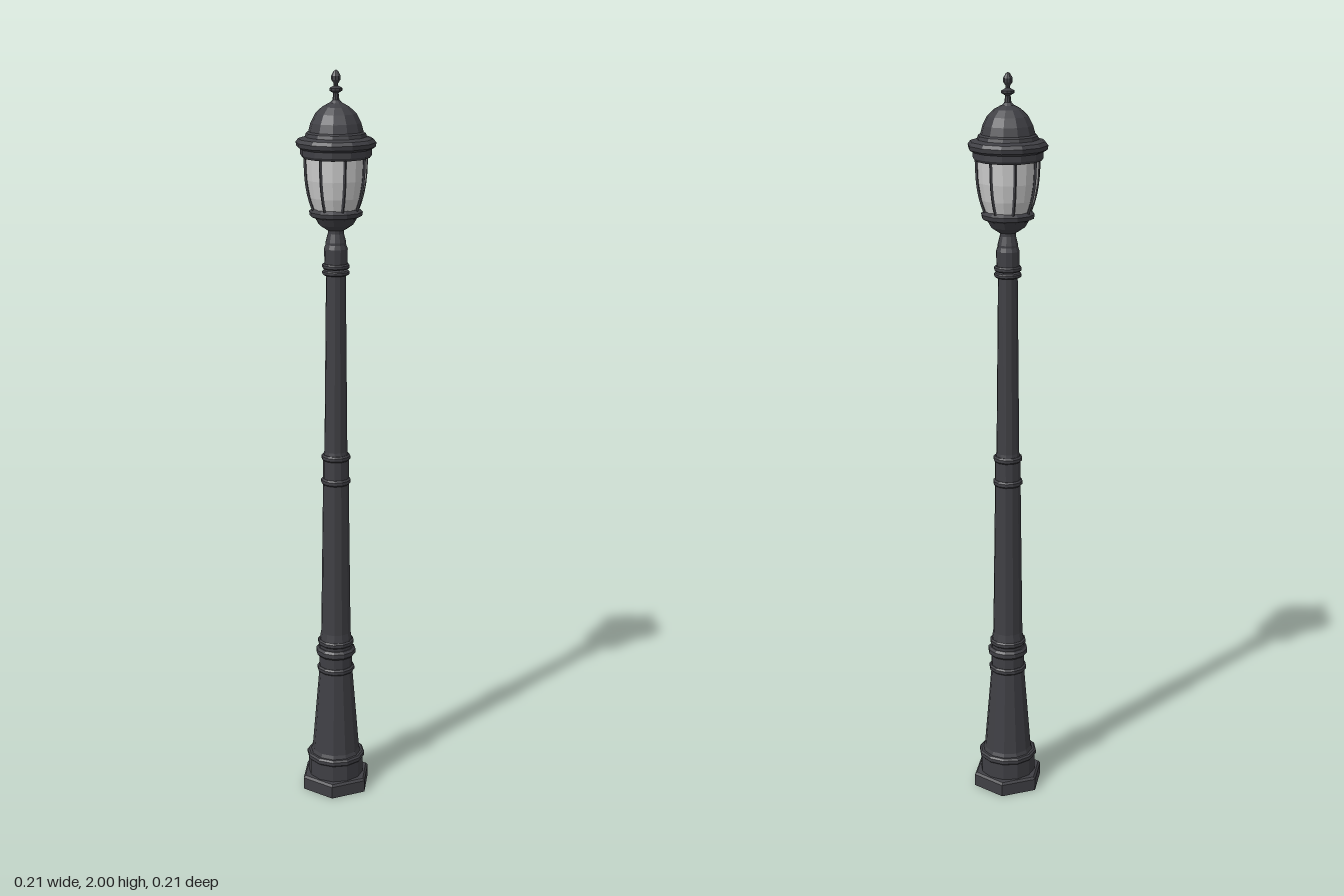
import * as THREE from 'three';

const iron = new THREE.MeshStandardMaterial({ color: 0x3f3f44, flatShading: true });
const pane = new THREE.MeshStandardMaterial({ color: 0xc4c4c4, flatShading: true, side: THREE.DoubleSide });

// Faceted turned part from [radius, height] pairs, bottom to top
function turned(name, profile, sides = 12, material = iron) {
  const points = profile.map(([r, y]) => new THREE.Vector2(r, y));
  const mesh = new THREE.Mesh(new THREE.LatheGeometry(points, sides), material);
  mesh.name = name;
  return mesh;
}

// Moulded collar with bevelled edges
function collar(name, y0, y1, radius) {
  const b = (y1 - y0) * 0.25;
  return turned(name, [[0, y0], [radius - b, y0], [radius, y0 + b], [radius, y1 - b], [radius - b, y1], [0, y1]]);
}

export function createModel() {
  const lamp = new THREE.Group();
  lamp.name = 'streetLamp';

  // Hexagonal foot and plinth
  lamp.add(turned('foot', [[0, 0], [0.1, 0], [0.1, 0.034], [0.094, 0.04], [0, 0.04]], 6));
  lamp.add(turned('plinth', [[0.077, 0.038], [0.077, 0.088], [0, 0.088]]));
  lamp.add(collar('plinthCollar', 0.086, 0.105, 0.081));

  // Tapering post in three stages
  lamp.add(turned('lowerPost', [[0.072, 0.1], [0.066, 0.115], [0.046, 0.36], [0.046, 0.45]]));
  lamp.add(turned('middlePost', [[0.046, 0.44], [0.041, 0.47], [0.035, 0.91], [0.035, 0.985]]));
  lamp.add(turned('upperPost', [[0.035, 0.975], [0.031, 0.995], [0.026, 1.48]]));

  // Collars where the stages meet
  const collars = [
    [0.352, 0.369, 0.052], [0.4, 0.424, 0.055], [0.432, 0.449, 0.05],
    [0.902, 0.919, 0.04], [0.97, 0.986, 0.039],
    [1.476, 1.488, 0.036], [1.492, 1.506, 0.036],
  ];
  collars.forEach(([y0, y1, r], i) => lamp.add(collar(`postCollar${i + 1}`, y0, y1, r)));

  // Neck and lantern cup
  lamp.add(turned('neck', [
    [0.03, 1.5], [0.031, 1.545], [0.027, 1.556], [0.027, 1.562], [0.021, 1.585], [0.021, 1.6],
  ]));
  lamp.add(turned('lanternCup', [
    [0, 1.594], [0.024, 1.594], [0.045, 1.608], [0.055, 1.625], [0.068, 1.631],
    [0.07, 1.642], [0.06, 1.65], [0, 1.65],
  ]));

  // Glass bowl
  const bowl = [[0.058, 1.645], [0.07, 1.68], [0.078, 1.725], [0.081, 1.785]];
  lamp.add(turned('glass', bowl, 16, pane));

  // Ribs following the bowl
  const ribs = new THREE.Group();
  ribs.name = 'ribs';
  const curve = new THREE.CatmullRomCurve3(bowl.map(([r, y]) => new THREE.Vector3(0, y, r + 0.001)));
  const ribGeometry = new THREE.TubeGeometry(curve, 6, 0.0045, 4);
  for (let i = 0; i < 8; i++) {
    const rib = new THREE.Mesh(ribGeometry, iron);
    rib.name = `rib${i + 1}`;
    rib.rotation.y = (i + 0.5) * Math.PI / 4;
    ribs.add(rib);
  }
  lamp.add(ribs);

  // Stepped rim and domed roof
  lamp.add(turned('roofRim', [
    [0, 1.78], [0.087, 1.78], [0.092, 1.787], [0.092, 1.802], [0.102, 1.808],
    [0.104, 1.819], [0.097, 1.828], [0.08, 1.833], [0, 1.833],
  ]));
  lamp.add(turned('roof', [
    [0.08, 1.832], [0.077, 1.842], [0.071, 1.846], [0.065, 1.868], [0.053, 1.891],
    [0.035, 1.908], [0.018, 1.917], [0, 1.922],
  ]));

  // Finial
  lamp.add(turned('finial', [
    [0.018, 1.916], [0.009, 1.925], [0.007, 1.942], [0.017, 1.948], [0.017, 1.954],
    [0.006, 1.96], [0.006, 1.966], [0.012, 1.975], [0.012, 1.985], [0.006, 1.996], [0, 2],
  ], 10));

  return lamp;
}
